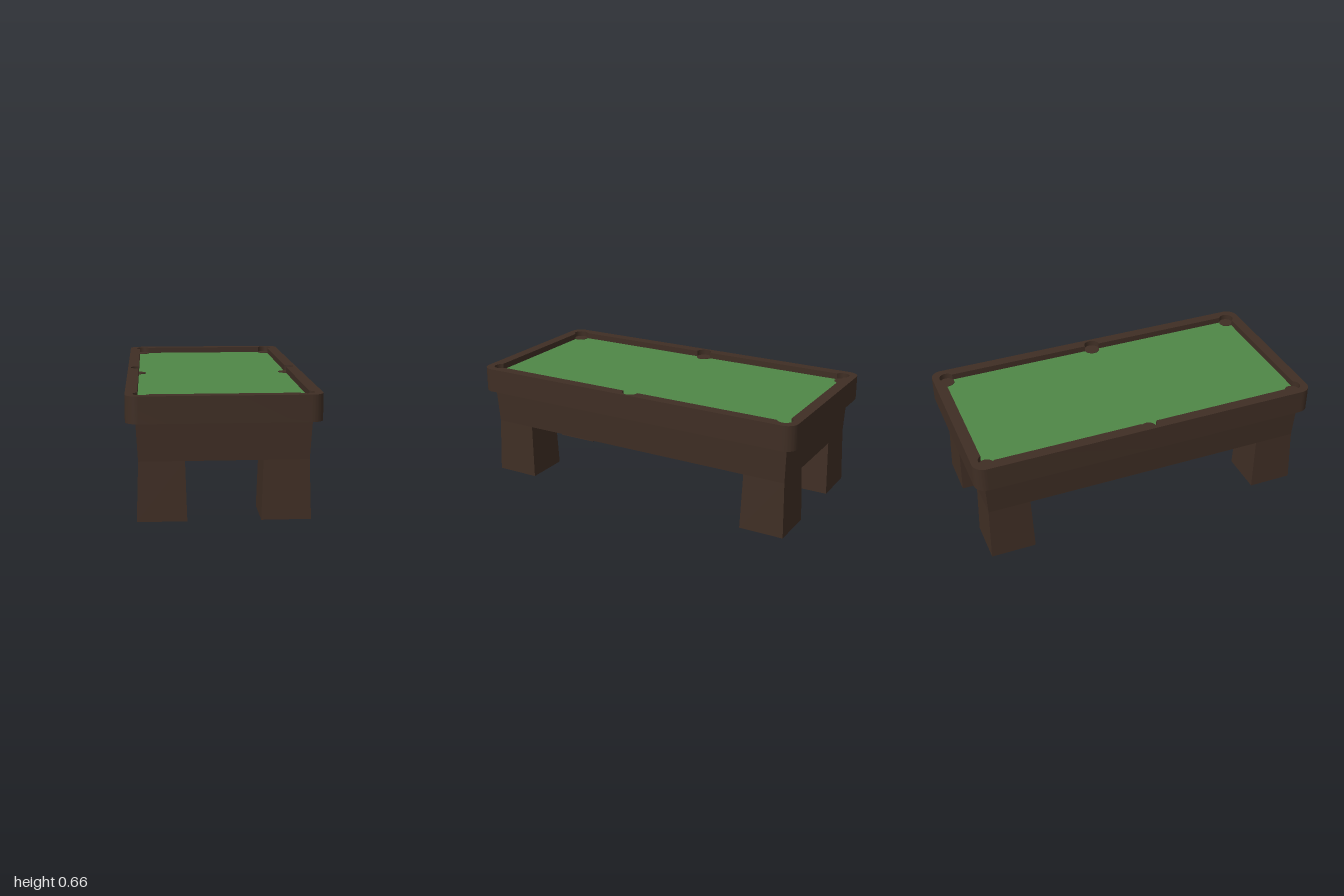
import * as THREE from 'three';
import { toCreasedNormals } from 'three/addons/utils/BufferGeometryUtils.js';

const wood = new THREE.MeshStandardMaterial({ color: 0x3f2e24 });
wood.name = 'dark wood';
const cloth = new THREE.MeshStandardMaterial({ color: 0x4f8747 });
cloth.name = 'green cloth';

const RAIL_BOTTOM = 0.52, RAIL_TOP = 0.66, FELT = 0.625, APRON_BOTTOM = 0.315;
const INNER = { x: 0.437, z: 0.937 };
const CORNER = { x: 0.418, z: 0.918, r: 0.042 };
const SIDE = { x: 0.44, r: 0.045 };

function part(name, geometry, material) {
  const mesh = new THREE.Mesh(geometry, material);
  mesh.name = name;
  return mesh;
}

// Box between two heights whose rectangles [x0, x1, z0, z1] differ at bottom and top
function taperedBox(y0, y1, low, high) {
  const geometry = new THREE.BoxGeometry(1, 1, 1);
  const p = geometry.attributes.position;
  for (let i = 0; i < p.count; i++) {
    const top = p.getY(i) > 0, r = top ? high : low;
    p.setXYZ(i, r[p.getX(i) < 0 ? 0 : 1], top ? y1 : y0, r[p.getZ(i) < 0 ? 2 : 3]);
  }
  geometry.computeVertexNormals();
  return geometry;
}

function roundedRectangle(w, d, r) {
  const s = new THREE.Shape();
  s.absarc(w - r, d - r, r, 0, Math.PI / 2);
  s.absarc(r - w, d - r, r, Math.PI / 2, Math.PI);
  s.absarc(r - w, r - d, r, Math.PI, Math.PI * 1.5);
  s.absarc(w - r, r - d, r, Math.PI * 1.5, Math.PI * 2);
  s.closePath();
  return s;
}

// Rail opening: one quarter with its pocket notches, mirrored around
function openingPath() {
  const quarter = [];
  const arc = (cx, cy, r, a, b, n) => {
    for (let i = 0; i <= n; i++) {
      const t = a + (b - a) * i / n;
      quarter.push(new THREE.Vector2(cx + r * Math.cos(t), cy + r * Math.sin(t)));
    }
  };
  arc(SIDE.x, 0, SIDE.r, 0, Math.PI / 2, 6);
  quarter.push(new THREE.Vector2(INNER.x, SIDE.r));
  const cut = Math.acos((INNER.x - CORNER.x) / CORNER.r);
  arc(CORNER.x, CORNER.z, CORNER.r, -cut, Math.PI / 2 + cut, 14);
  const turned = (sx, sy) => quarter.map(v => new THREE.Vector2(v.x * sx, v.y * sy));
  return new THREE.Path([
    ...turned(1, 1),
    ...turned(-1, 1).reverse().slice(0, -1),
    ...turned(-1, -1),
    ...turned(1, -1).reverse().slice(0, -1),
  ]);
}

export function createModel() {
  const table = new THREE.Group();
  table.name = 'pool table';

  // Rail frame
  const outline = roundedRectangle(0.5, 1, 0.065);
  outline.holes.push(openingPath());
  const frame = new THREE.ExtrudeGeometry(outline, {
    depth: RAIL_TOP - RAIL_BOTTOM, bevelEnabled: false, curveSegments: 8,
  });
  frame.rotateX(-Math.PI / 2).translate(0, RAIL_BOTTOM, 0);
  table.add(part('railFrame', toCreasedNormals(frame, 0.6), wood));

  // Playing surface
  const felt = new THREE.BoxGeometry(INNER.x * 2, 0.008, INNER.z * 2);
  felt.translate(0, FELT - 0.004, 0);
  table.add(part('playingSurface', felt, cloth));

  // Pocket cups filling the notches
  const cupTop = FELT + 0.003, cupHeight = cupTop - RAIL_BOTTOM;
  const addPocket = (name, x, z, r) => {
    const pocket = part(name, new THREE.CylinderGeometry(r, r, cupHeight, 24), wood);
    pocket.position.set(x, cupTop - cupHeight / 2, z);
    table.add(pocket);
  };

  // Apron under the rails
  table.add(part('apron', taperedBox(APRON_BOTTOM, RAIL_BOTTOM,
    [-0.437, 0.437, -0.937, 0.937], [-0.448, 0.448, -0.946, 0.946]), wood));

  // Pockets and legs, mirrored left to right and front to back
  for (const sx of [-1, 1]) {
    const side = sx > 0 ? 'left' : 'right';
    addPocket(side + 'SidePocket', sx * SIDE.x, 0, SIDE.r);
    for (const sz of [-1, 1]) {
      const end = sz > 0 ? 'Front' : 'Back';
      addPocket(side + end + 'Pocket', sx * CORNER.x, sz * CORNER.z, CORNER.r);
      const rect = (xi, xo, zi, zo) => [
        ...[sx * xi, sx * xo].sort((a, b) => a - b),
        ...[sz * zi, sz * zo].sort((a, b) => a - b),
      ];
      table.add(part(side + end + 'Leg', taperedBox(0, APRON_BOTTOM,
        rect(0.19, 0.448, 0.69, 0.946), rect(0.2, 0.437, 0.7, 0.937)), wood));
    }
  }
  return table;
}
